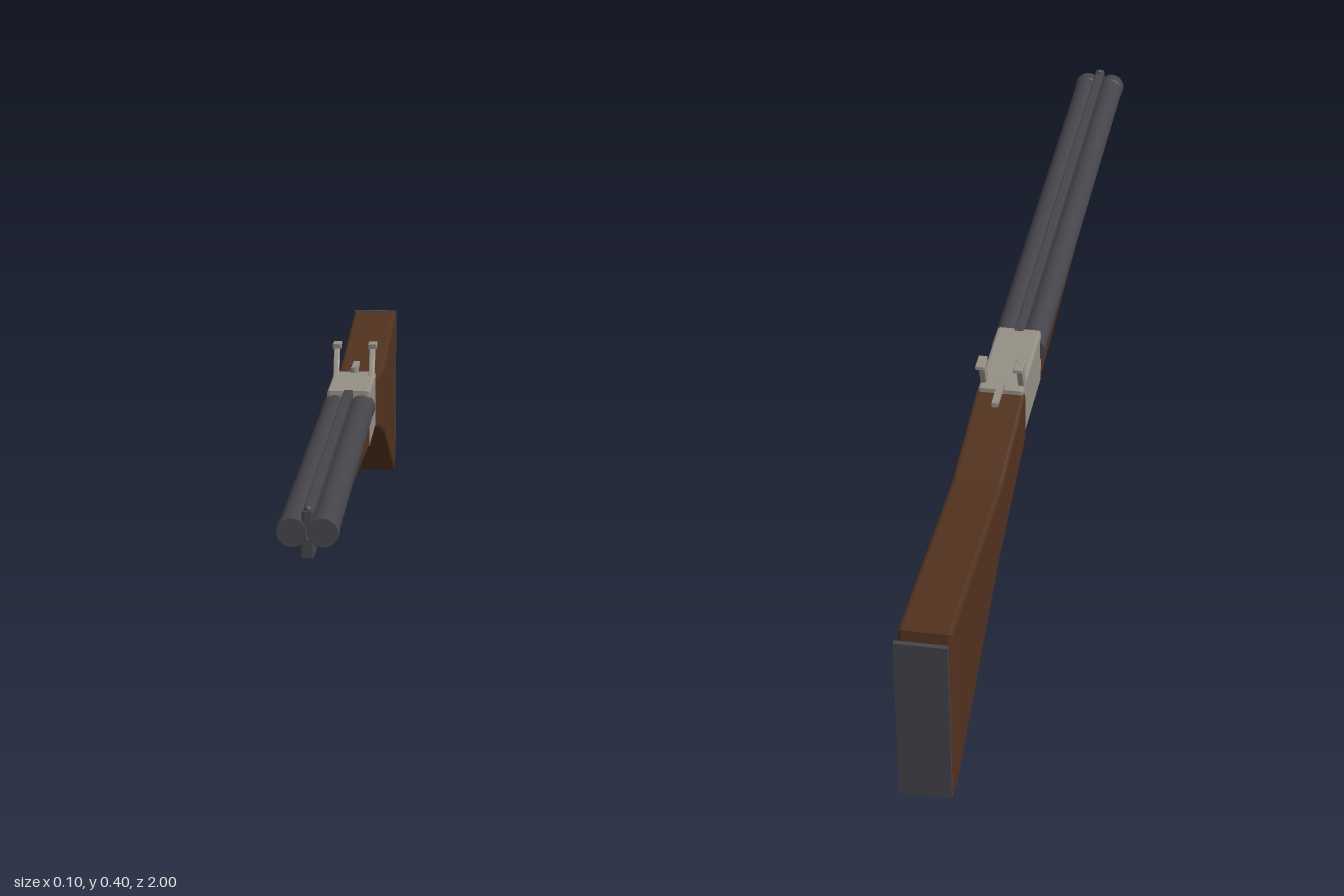
import * as THREE from 'three';

const mat = (name, color) => {
  const m = new THREE.MeshStandardMaterial({ color });
  m.name = name;
  return m;
};

export function createModel() {
  const wood = mat('walnut', 0x52321f);
  const steel = mat('dark steel', 0x44444a);
  const silver = mat('polished grey', 0x958f85);
  const model = new THREE.Group();
  model.name = 'doubleBarrel';

  const add = (name, geometry, material, x = 0, y = 0, z = 0) => {
    const mesh = new THREE.Mesh(geometry, material);
    mesh.name = name;
    mesh.position.set(x, y, z);
    model.add(mesh);
    return mesh;
  };

  // Side outline given as [z, y], extruded across x with bevelled edges
  const slab = (points, width, bevel) => {
    const shape = new THREE.Shape(points.map(([z, y]) => new THREE.Vector2(z, y)));
    const g = new THREE.ExtrudeGeometry(shape, {
      depth: width - 2 * bevel, steps: 1, bevelEnabled: bevel > 0,
      bevelThickness: bevel, bevelSize: bevel, bevelOffset: -bevel, bevelSegments: 2,
    });
    g.translate(0, 0, -(width - 2 * bevel) / 2);
    return g.rotateY(-Math.PI / 2);
  };

  // Wooden stock and its tilted butt plate
  add('stock', slab([
    [-0.235, 0.338], [-0.235, 0.238], [-0.52, 0.168], [-0.94, 0.002],
    [-0.978, 0.018], [-0.965, 0.346], [-0.48, 0.308],
  ], 0.09, 0.007), wood);
  add('buttPlate', slab([
    [-0.976, 0.018], [-0.984, 0.018], [-1, 0.345], [-0.991, 0.345],
  ], 0.09, 0), steel);

  // Forend under the barrels
  add('forend', slab([
    [0.45, 0.296], [-0.045, 0.312], [-0.045, 0.237], [0.42, 0.266], [0.445, 0.28],
  ], 0.08, 0.007), wood);

  // Receiver
  add('receiver', slab([
    [-0.038, 0.345], [-0.038, 0.238], [-0.245, 0.238], [-0.245, 0.345],
  ], 0.082, 0.005), silver);

  // Barrels with softly rounded muzzle and breech rings
  const profile = [
    [0, -0.055], [0.025, -0.055], [0.025, -0.03], [0.024, -0.028], [0.024, 0.972],
    [0.0255, 0.976], [0.0255, 0.994], [0.0235, 1], [0, 1],
  ].map(([r, h]) => new THREE.Vector2(r, h));
  for (const side of [-1, 1]) {
    const barrel = new THREE.LatheGeometry(profile, 32).toNonIndexed();
    barrel.computeVertexNormals();
    const p = barrel.attributes.position, n = barrel.attributes.normal;
    // Smooth the barrel walls around the axis, keep end faces flat
    for (let i = 0; i < p.count; i++) {
      const ny = n.getY(i), r = Math.hypot(p.getX(i), p.getZ(i));
      if (Math.abs(ny) < 0.9 && r > 0) {
        const k = Math.sqrt(1 - ny * ny) / r;
        n.setXYZ(i, p.getX(i) * k, ny, p.getZ(i) * k);
      }
    }
    barrel.rotateX(Math.PI / 2);
    add(side > 0 ? 'leftBarrel' : 'rightBarrel', barrel, steel, side * 0.025, 0.312, 0);
  }

  // Ribs between the barrels, and the front bead
  add('topRib', slab([[0.998, 0.346], [0.998, 0.318], [-0.045, 0.318], [-0.045, 0.346]], 0.018, 0.003), steel);
  add('lowerRib', slab([[0.998, 0.3], [0.998, 0.271], [-0.04, 0.271], [-0.04, 0.3]], 0.023, 0.004), steel);
  add('frontBead', new THREE.SphereGeometry(0.006, 12, 8), steel, 0, 0.347, 0.985);

  // Top lever
  add('topLever', new THREE.BoxGeometry(0.012, 0.009, 0.07), silver, 0, 0.351, -0.27);
  add('leverPivot', new THREE.CylinderGeometry(0.008, 0.008, 0.014, 16), silver, 0, 0.348, -0.235);

  // Paired hammers, leaning back
  for (const side of [-1, 1]) {
    const name = side > 0 ? 'left' : 'right';
    add(name + 'HammerStem', slab([
      [-0.198, 0.335], [-0.222, 0.335], [-0.249, 0.396], [-0.229, 0.396],
    ], 0.011, 0.002), silver, side * 0.0345);
    add(name + 'HammerSpur', slab([
      [-0.226, 0.402], [-0.228, 0.392], [-0.25, 0.39], [-0.264, 0.396], [-0.264, 0.402],
    ], 0.017, 0.002), silver, side * 0.0345);
  }

  // Trigger guard ring and two curved triggers
  const guard = new THREE.TorusGeometry(0.039, 0.005, 10, 36).rotateY(Math.PI / 2);
  add('triggerGuard', guard, steel, 0, 0.21, -0.226);
  for (const z of [-0.208, -0.234]) {
    const path = new THREE.QuadraticBezierCurve3(
      new THREE.Vector3(0, 0.245, z), new THREE.Vector3(0, 0.222, z - 0.012), new THREE.Vector3(0, 0.204, z - 0.004));
    add('trigger', new THREE.TubeGeometry(path, 8, 0.004, 8), steel);
  }

  return model;
}
